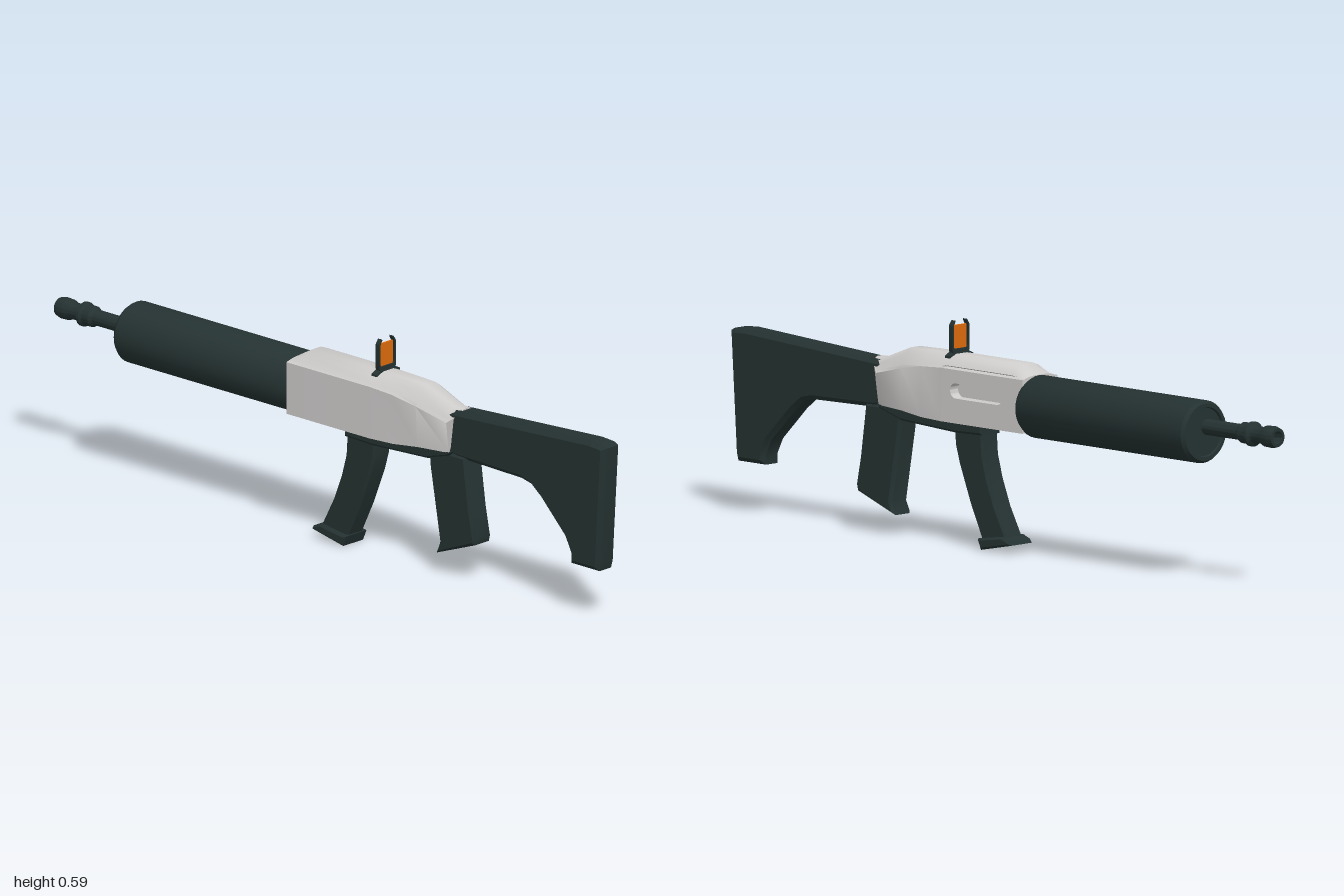
import * as THREE from 'three';
import { toCreasedNormals } from 'three/addons/utils/BufferGeometryUtils.js';

const CX = -0.012; // centre plane of the body

export function createModel() {
  const model = new THREE.Group();
  const dark = new THREE.MeshStandardMaterial({ color: 0x243231 });
  const grey = new THREE.MeshStandardMaterial({ color: 0xcfcdcc });
  const orange = new THREE.MeshStandardMaterial({ color: 0xdc6a0c });
  dark.name = 'darkGreen';
  grey.name = 'lightGrey';
  orange.name = 'orange';

  const add = (name, geometry, material, crease = 0.6) => {
    const mesh = new THREE.Mesh(toCreasedNormals(geometry, crease), material);
    mesh.name = name;
    model.add(mesh);
    return mesh;
  };

  // Side profile of [z, y] points, extruded across x with bevelled edges
  const sideShape = (pts) => new THREE.Shape(pts.map(([z, y]) => new THREE.Vector2(-z, y)));
  const profile = (name, pts, width, bevel) => {
    const g = new THREE.ExtrudeGeometry(sideShape(pts), {
      depth: width - 2 * bevel, bevelEnabled: true, bevelSegments: 1,
      bevelSize: bevel, bevelOffset: -bevel, bevelThickness: bevel,
    });
    g.translate(0, 0, -width / 2 + bevel);
    g.rotateY(Math.PI / 2);
    g.translate(CX, 0, 0);
    return add(name, g, dark);
  };

  // Turned part of [radius, distance forward] points, axis along -z
  const turned = (name, pts, x, y) => {
    const g = new THREE.LatheGeometry(pts.map(([r, d]) => new THREE.Vector2(r, d)), 32);
    g.rotateX(-Math.PI / 2);
    g.translate(x, y, 0);
    return add(name, g, dark);
  };

  profile('stock', [
    [0.998, 0.48], [0.985, 0.487], [0.94, 0.49], [0.44, 0.462], [0.40, 0.45], [0.40, 0.35],
    [0.46, 0.335], [0.69, 0.33], [0.725, 0.322], [0.76, 0.295], [0.85, 0.205], [0.87, 0.165],
    [0.87, 0.137], [0.972, 0.137], [0.978, 0.16],
  ], 0.067, 0.012);

  profile('grip', [
    [0.495, 0.345], [0.36, 0.345], [0.365, 0.29], [0.40, 0.09], [0.388, 0.057],
    [0.526, 0.108], [0.53, 0.125], [0.515, 0.20],
  ], 0.067, 0.008);

  profile('lowerFrame', [
    [0.45, 0.35], [0.44, 0.335], [0.36, 0.312], [0.16, 0.302], [0.06, 0.305], [0.06, 0.35],
  ], 0.075, 0.006);

  profile('magazine', [
    [0.168, 0.32], [0.165, 0.27], [0.15, 0.22], [0.11, 0.12], [0.062, 0.02], [-0.03, 0.035],
    [0.015, 0.12], [0.043, 0.19], [0.06, 0.25], [0.065, 0.32],
  ], 0.062, 0.006);

  profile('magazineBase', [
    [0.072, 0.032], [0.06, 0.003], [-0.052, 0.026], [-0.046, 0.036], [-0.02, 0.046],
  ], 0.087, 0.006);

  // Receiver shell, lofted: [z, half width, bottom half width, bottom, shoulder, top, right inset]
  const INSET = 0.03;
  const rows = [
    [0.472, 0.025, 0.02, 0.45, 0.456, 0.468, 0],
    [0.44, 0.046, 0.036, 0.345, 0.43, 0.468, 0],
    [0.34, 0.057, 0.05, 0.342, 0.455, 0.506, 0],
    [0.26, 0.062, 0.06, 0.335, 0.47, 0.508, 0],
    [0.18, 0.065, 0.065, 0.333, 0.475, 0.508, 0],
    [0.18, 0.065, 0.065, 0.333, 0.475, 0.508, INSET],
    [-0.075, 0.065, 0.065, 0.333, 0.475, 0.508, INSET],
    [-0.12, 0.065, 0.065, 0.333, 0.475, 0.483, INSET],
  ];
  const section = ([z, w, wb, bottom, shoulder, top, inset]) => {
    const rise = top - shoulder;
    const half = [[w * 0.87, shoulder + rise * 0.2], [w * 0.62, top - rise * 0.25], [w * 0.3, top]];
    return [
      [-wb, bottom], [wb - inset, bottom], [w - inset, shoulder], ...half,
      ...half.slice().reverse().map(([x, y]) => [-x, y]), [-w, shoulder],
    ].map(([x, y]) => [x + CX, y, z]);
  };
  const sections = rows.map(section);
  const n = sections[0].length;
  const index = [];
  for (let i = 0; i < rows.length - 1; i++) {
    for (let j = 0; j < n; j++) {
      const a = i * n + j, b = i * n + (j + 1) % n;
      index.push(a, a + n, b, b, a + n, b + n);
    }
  }
  const last = (rows.length - 1) * n;
  for (let j = 1; j < n - 1; j++) index.push(0, j, j + 1, last, last + j + 1, last + j);
  const shell = new THREE.BufferGeometry();
  shell.setAttribute('position', new THREE.Float32BufferAttribute(sections.flat(2), 3));
  shell.setIndex(index);
  add('receiver', shell, grey, 0.7);

  // Right side wall with the rounded ejection slot
  const wall = sideShape([[0.18, 0.333], [-0.12, 0.333], [-0.12, 0.475], [0.18, 0.475]]);
  const slot = new THREE.Path();
  slot.absarc(-0.127, 0.419, 0.02, Math.PI / 2, Math.PI * 1.5, false);
  slot.absarc(0.025, 0.419, 0.02, -Math.PI / 2, Math.PI / 2, false);
  slot.closePath();
  wall.holes.push(slot);
  const wallGeometry = new THREE.ExtrudeGeometry(wall, { depth: INSET, bevelEnabled: false, curveSegments: 8 });
  wallGeometry.rotateY(Math.PI / 2);
  wallGeometry.translate(CX + 0.065 - INSET, 0, 0);
  add('slottedSideWall', wallGeometry, grey);

  // Large round handguard
  turned('handguard', [
    [0, 0.115], [0.074, 0.115], [0.083, 0.13], [0.083, 0.735], [0.076, 0.745],
    [0.066, 0.745], [0.064, 0.738], [0, 0.738],
  ], 0, 0.401);

  // Barrel with a ringed, hollow muzzle
  turned('barrel', [
    [0.021, 0.70], [0.021, 0.865], [0.028, 0.875], [0.028, 0.898], [0.033, 0.904], [0.033, 0.912],
    [0.024, 0.92], [0.022, 0.945], [0.028, 0.96], [0.029, 0.985], [0.025, 0.999],
    [0.017, 0.999], [0.015, 0.97], [0, 0.97],
  ], CX, 0.413);

  // Sight: curved base, U-shaped frame with inward tips, orange panel
  const front = (name, pts, z, depth, material) => {
    const s = new THREE.Shape(pts.map(([x, y]) => new THREE.Vector2(x + CX, y)));
    const g = new THREE.ExtrudeGeometry(s, { depth, bevelEnabled: false });
    g.translate(0, 0, z - depth / 2);
    return add(name, g, material);
  };
  const mirrored = (half) => [...half, ...half.slice().reverse().map(([x, y]) => [-x, y])];
  front('sightBase', mirrored([
    [0.018, 0.498], [0.044, 0.498], [0.044, 0.504], [0.03, 0.511],
  ]), 0.178, 0.018, dark);
  front('sightFrame', mirrored([
    [0.026, 0.506], [0.031, 0.515], [0.031, 0.583], [0.022, 0.596], [0.02, 0.594],
    [0.027, 0.581], [0.027, 0.526], [0.023, 0.521],
  ]), 0.178, 0.014, dark);
  front('sightPanel', mirrored([
    [0.021, 0.52], [0.0245, 0.526], [0.0245, 0.583],
  ]), 0.178, 0.006, orange);

  return model;
}
